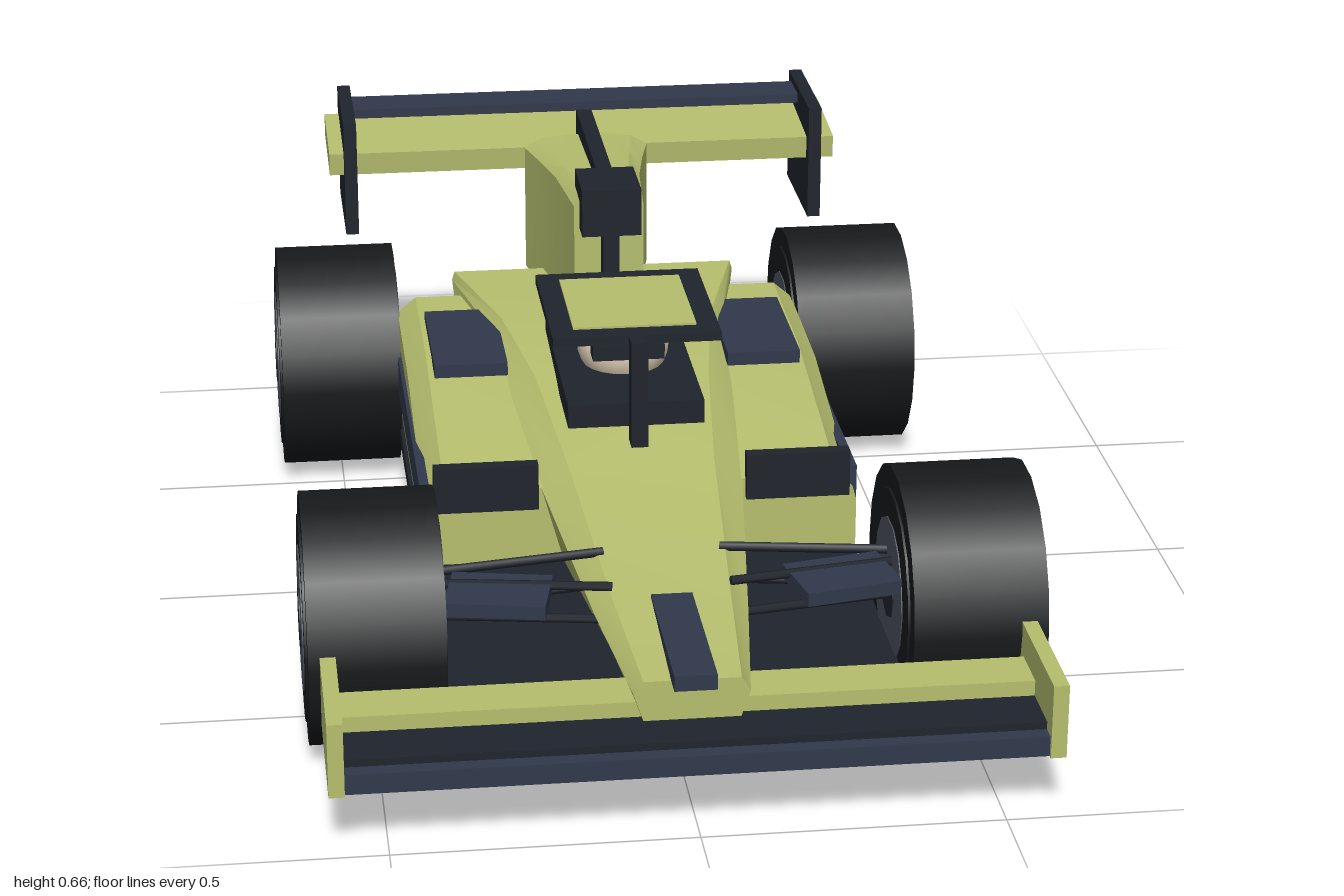
import * as THREE from 'three';
import { toCreasedNormals } from 'three/addons/utils/BufferGeometryUtils.js';

const mat = (color) => new THREE.MeshStandardMaterial({ color });

// Skin over equal-sized rings, listed front to back, each counter-clockwise seen from +z
function loft(rings) {
  const pos = rings.flat(2), idx = [], n = rings[0].length, last = (rings.length - 1) * n;
  for (let i = 0; i < rings.length - 1; i++) {
    for (let j = 0; j < n; j++) {
      const a = i * n + j, b = i * n + (j + 1) % n, c = b + n, d = a + n;
      idx.push(a, d, c, a, c, b);
    }
  }
  for (let j = 1; j < n - 1; j++) idx.push(0, j, j + 1, last, last + j + 1, last + j);
  const g = new THREE.BufferGeometry();
  g.setAttribute('position', new THREE.Float32BufferAttribute(pos, 3));
  g.setIndex(idx);
  return toCreasedNormals(g, 0.5);
}

// Full symmetric ring from its right-hand half, bottom to top
const symmetric = (half, z) => [
  ...half.map(([x, y]) => [x, y, z]),
  ...half.slice().reverse().map(([x, y]) => [-x, y, z]),
];

export function createModel() {
  const car = new THREE.Group();
  car.name = 'racingCar';
  const paint = mat(0xb5be6e), dark = mat(0x1f242c), slate = mat(0x30384a);
  const rubber = mat(0x17191b), rimGrey = mat(0x4c525c), cream = mat(0xe6d6bc);

  const add = (name, geo, material, x = 0, y = 0, z = 0, parent = car) => {
    const m = new THREE.Mesh(geo, material);
    m.name = name;
    m.position.set(x, y, z);
    parent.add(m);
    return m;
  };
  // Box given by its extents
  const box = (name, material, x0, x1, y0, y1, z0, z1) =>
    add(name, new THREE.BoxGeometry(x1 - x0, y1 - y0, z1 - z0), material,
      (x0 + x1) / 2, (y0 + y1) / 2, (z0 + z1) / 2);
  const pair = (name, material, x0, x1, ...rest) => {
    box(name + 'Left', material, x0, x1, ...rest);
    box(name + 'Right', material, -x1, -x0, ...rest);
  };
  const rod = (name, a, b, r) => {
    const p = new THREE.Vector3(...a), q = new THREE.Vector3(...b);
    const m = add(name, new THREE.CylinderGeometry(r, r, p.distanceTo(q), 6), dark);
    m.position.copy(p).lerp(q, 0.5);
    m.quaternion.setFromUnitVectors(new THREE.Vector3(0, 1, 0), q.sub(p).normalize());
  };

  box('floor', dark, -0.39, 0.39, 0.095, 0.128, -0.9, 0.7);

  // Nose and central body: z, bottom, side and top half widths, bottom, side and top heights
  add('body', loft([
    [0.89, 0.08, 0.095, 0.08, 0.165, 0.21, 0.235],
    [0.62, 0.10, 0.13, 0.10, 0.16, 0.23, 0.258],
    [0.2, 0.14, 0.18, 0.13, 0.14, 0.285, 0.32],
    [-0.1, 0.18, 0.205, 0.16, 0.13, 0.335, 0.372],
    [-0.35, 0.2, 0.22, 0.2, 0.13, 0.37, 0.392],
    [-0.6, 0.25, 0.275, 0.27, 0.13, 0.38, 0.396],
  ].map(([z, b, s, t, yb, ys, yt]) => symmetric([[b, yb], [s, ys], [t, yt]], z))), paint);
  box('noseStrip', slate, -0.035, 0.035, 0.235, 0.262, 0.62, 0.93);

  // Sidepods with their intakes, side panels and top vents
  for (const s of [1, -1]) {
    const rings = [
      [0.21, 0.235, 0.285], [-0.25, 0.325, 0.36], [-0.55, 0.335, 0.365],
    ].map(([z, yOut, yTop]) => {
      const r = [[0.1, 0.145], [0.385, 0.145], [0.385, yOut], [0.35, yTop], [0.1, yTop]]
        .map(([x, y]) => [s * x, y, z]);
      return s > 0 ? r : r.reverse();
    });
    add(s > 0 ? 'sidepodLeft' : 'sidepodRight', loft(rings), paint);
  }
  pair('intake', dark, 0.185, 0.37, 0.25, 0.335, 0.2, 0.225);
  pair('sidePanel', slate, 0.375, 0.392, 0.208, 0.282, -0.52, 0.17);
  pair('topVent', slate, 0.205, 0.34, 0.352, 0.377, -0.44, -0.16);

  // Engine cover, widening to the rear
  add('engineCover', loft([
    [-0.31, 0.065, 0.648], [-0.5, 0.08, 0.64], [-0.62, 0.1, 0.634], [-0.715, 0.12, 0.63],
  ].map(([z, w, y]) => symmetric(
    [[w, 0.36], [w, y - 0.025], [w * 0.75, y - 0.007], [w * 0.3, y]], z))), paint);
  box('coverFin', dark, -0.015, 0.015, 0.6, 0.668, -0.75, -0.3);
  box('airIntake', dark, -0.055, 0.055, 0.58, 0.67, -0.39, -0.26);
  box('intakeMast', dark, -0.015, 0.015, 0.38, 0.6, -0.31, -0.27);

  // Cockpit, driver's head and overhead guard
  box('cockpit', dark, -0.122, 0.122, 0.36, 0.404, -0.295, 0.125);
  add('helmet', new THREE.SphereGeometry(0.085, 20, 14), cream, 0, 0.445, -0.085);
  box('visor', dark, -0.065, 0.065, 0.44, 0.468, -0.045, 0.01);
  box('guardFrame', dark, -0.15, 0.15, 0.522, 0.538, -0.185, 0.14);
  box('guardPanel', paint, -0.11, 0.11, 0.53, 0.542, -0.145, 0.1);
  box('guardPost', dark, -0.015, 0.015, 0.34, 0.538, 0.135, 0.178);

  // Front wing
  box('frontWing', dark, -0.57, 0.57, 0.115, 0.163, 0.76, 0.965);
  box('frontWingLip', slate, -0.57, 0.57, 0.115, 0.15, 0.965, 0.992);
  box('frontFlap', paint, -0.57, 0.57, 0.16, 0.19, 0.78, 0.87);
  pair('frontEndplate', paint, 0.568, 0.594, 0.115, 0.244, 0.75, 1);

  // Rear wing, support post and tail light
  const wing = box('rearWing', paint, -0.5, 0.5, 0.553, 0.597, -0.975, -0.768);
  wing.rotation.x = 0.08;
  box('rearFlap', slate, -0.45, 0.45, 0.622, 0.64, -0.972, -0.885);
  pair('rearEndplate', dark, 0.447, 0.472, 0.43, 0.655, -1, -0.742);
  box('rearWingPost', dark, -0.018, 0.018, 0.11, 0.56, -0.876, -0.825);
  box('tailLight', dark, -0.03, 0.03, 0.15, 0.2, -0.942, -0.93);
  box('tailLightMount', dark, -0.008, 0.008, 0.165, 0.18, -0.932, -0.86);

  // Wheels
  const tyre = new THREE.CylinderGeometry(0.214, 0.214, 0.226, 18);
  const wall = new THREE.CylinderGeometry(0.175, 0.175, 0.234, 18);
  const rim = new THREE.CylinderGeometry(0.125, 0.125, 0.238, 14);
  const hub = new THREE.CylinderGeometry(0.052, 0.052, 0.242, 8);
  for (const [end, z] of [['front', 0.55], ['rear', -0.65]]) {
    for (const s of [1, -1]) {
      const wheel = new THREE.Group();
      wheel.name = end + (s > 0 ? 'WheelLeft' : 'WheelRight');
      wheel.position.set(s * 0.5, 0.218, z);
      wheel.rotation.z = -s * Math.PI / 2;
      car.add(wheel);
      add('tyre', tyre, rubber, 0, 0, 0, wheel);
      add('sidewall', wall, rubber, 0, 0, 0, wheel);
      add('rim', rim, rimGrey, 0, 0, 0, wheel);
      add('hub', hub, dark, 0, 0, 0, wheel);
      // Wishbones
      for (const y of [0.22, 0.28]) {
        for (const dz of [-0.07, 0.07]) {
          rod(end + 'Wishbone', [s * 0.1, y, z + dz], [s * 0.4, y, z + dz * 0.3], 0.008);
        }
      }
    }
  }

  // Deflector blades behind the front wing
  for (const s of [1, -1]) {
    const blade = box(s > 0 ? 'deflectorLeft' : 'deflectorRight', slate,
      s * 0.29 - 0.085, s * 0.29 + 0.085, 0.26, 0.284, 0.555, 0.68);
    blade.rotation.y = s * 0.2;
  }
  return car;
}
